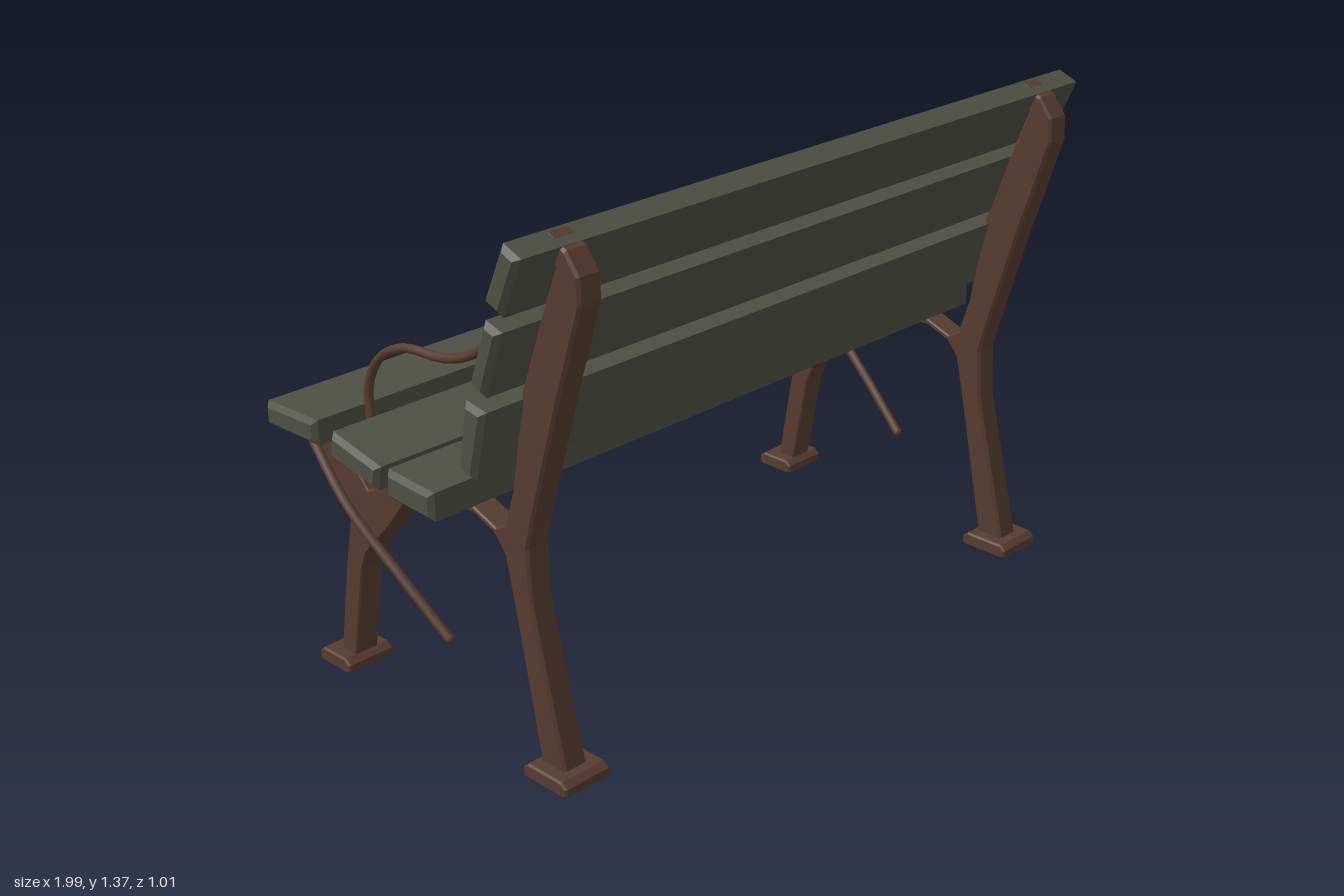
import * as THREE from 'three';

const slatPaint = new THREE.MeshStandardMaterial({ color: 0x4e5044 });
slatPaint.name = 'greyGreenPaint';
const iron = new THREE.MeshStandardMaterial({ color: 0x573d30 });
iron.name = 'rustyIron';
const bareWood = new THREE.MeshStandardMaterial({ color: 0x6f5922 });
bareWood.name = 'yellowWood';

// Extrudes a side profile of [z, y] points along x, centred on x = 0
function extrudeProfile(points, width, bevel) {
  const shape = new THREE.Shape(points.map(([z, y]) => new THREE.Vector2(-z, y)));
  const geo = new THREE.ExtrudeGeometry(shape, {
    depth: width - 2 * bevel, bevelEnabled: true, bevelSize: bevel,
    bevelThickness: bevel, bevelOffset: -bevel, bevelSegments: 1,
  });
  geo.translate(0, 0, bevel - width / 2);
  return geo.rotateY(Math.PI / 2);
}

// Regroups triangles so that faces matching the test use the second material
function splitMaterials(geo, test) {
  const p = geo.attributes.position;
  const tri = new THREE.Triangle(), n = new THREE.Vector3();
  const lists = [[], []];
  for (let i = 0; i < p.count; i += 3) {
    tri.setFromAttributeAndIndices(p, i, i + 1, i + 2);
    tri.getNormal(n);
    lists[test(n) ? 1 : 0].push(i, i + 1, i + 2);
  }
  geo.setIndex([...lists[0], ...lists[1]]);
  geo.clearGroups();
  geo.addGroup(0, lists[0].length, 0);
  geo.addGroup(lists[0].length, lists[1].length, 1);
  return geo;
}

function addMesh(parent, name, geo, material, x = 0) {
  const mesh = new THREE.Mesh(geo, material);
  mesh.name = name;
  mesh.position.x = x;
  parent.add(mesh);
  return mesh;
}

function tube(points, radius) {
  const curve = new THREE.CatmullRomCurve3(points.map((p) => new THREE.Vector3(...p)));
  return new THREE.TubeGeometry(curve, 28, radius, 8, false);
}

export function createModel() {
  const bench = new THREE.Group();
  bench.name = 'bench';

  // Slats: four corners [z, y] of each cross-section
  const slats = {
    topBackSlat: [[0.453, 1.342], [0.397, 1.365], [0.333, 1.221], [0.39, 1.196]],
    middleBackSlat: [[0.384, 1.16], [0.331, 1.176], [0.275, 1.018], [0.324, 0.993]],
    lowerBackSlat: [[0.322, 0.957], [0.255, 0.969], [0.225, 0.793], [0.281, 0.781]],
    rearSeatSlat: [[0.127, 0.7], [-0.038, 0.708], [-0.04, 0.634], [0.127, 0.627]],
    middleSeatSlat: [[-0.065, 0.703], [-0.245, 0.738], [-0.257, 0.67], [-0.078, 0.639]],
    frontSeatSlat: [[-0.304, 0.748], [-0.504, 0.741], [-0.504, 0.678], [-0.304, 0.681]],
  };
  for (const [name, corners] of Object.entries(slats)) {
    const bareEnd = name === 'frontSeatSlat';
    const geo = splitMaterials(extrudeProfile(corners, 1.99, 0.013),
      (n) => n.y < -0.85 || (bareEnd && n.x > 0.85));
    addMesh(bench, name, geo, [slatPaint, bareWood]);
  }

  // Rear post: leg, knee and leaning back support
  const rearPost = extrudeProfile([
    [0.425, 0.03], [0.37, 0.25], [0.322, 0.445], [0.314, 0.58], [0.332, 0.65],
    [0.42, 0.95], [0.507, 1.22], [0.503, 1.285], [0.465, 1.335], [0.405, 1.363],
    [0.43, 1.29], [0.375, 1.15], [0.31, 0.97], [0.268, 0.717], [0.235, 0.615],
    [0.234, 0.536], [0.263, 0.41], [0.342, 0.03],
  ], 0.07, 0.007);

  // Seat bearer arching into the front leg, with an open fork under the front slat
  const frontLeg = extrudeProfile([
    [0.25, 0.625], [0.205, 0.6], [0.13, 0.628], [-0.04, 0.635], [-0.08, 0.645],
    [-0.252, 0.676], [-0.24, 0.62], [-0.25, 0.547], [-0.273, 0.536], [-0.4, 0.672],
    [-0.41, 0.684], [-0.496, 0.682], [-0.5, 0.635], [-0.485, 0.61], [-0.364, 0.48],
    [-0.353, 0.43], [-0.38, 0.3], [-0.425, 0.03], [-0.367, 0.03], [-0.318, 0.3],
    [-0.295, 0.355], [-0.194, 0.465], [-0.13, 0.547], [-0.08, 0.585], [0, 0.611],
    [0.13, 0.611], [0.2, 0.585], [0.25, 0.53],
  ], 0.07, 0.004);

  const foot = (z, half) => extrudeProfile([
    [z + half, 0.006], [z + half, 0.026], [z + half - 0.016, 0.04],
    [z - half + 0.016, 0.04], [z - half, 0.026], [z - half, 0.006],
    [z - half + 0.008, 0], [z + half - 0.008, 0],
  ], 0.142, 0.005);

  for (const side of [-1, 1]) {
    const frame = new THREE.Group();
    frame.name = side > 0 ? 'leftFrame' : 'rightFrame';
    bench.add(frame);
    const x = side * 0.838;
    addMesh(frame, 'rearPost', rearPost, iron, x);
    addMesh(frame, 'frontLeg', frontLeg, iron, x);
    addMesh(frame, 'rearFoot', foot(0.39, 0.074), iron, x);
    addMesh(frame, 'frontFoot', foot(-0.41, 0.061), iron, x);

    // Curved armrest from the backrest down to the front slat
    addMesh(frame, 'armrest', tube([
      [side * 0.81, 1.115, 0.32], [side * 0.81, 1.095, 0.27], [side * 0.815, 1.043, 0.17],
      [side * 0.815, 0.978, 0.08], [side * 0.82, 0.943, -0.01], [side * 0.82, 0.925, -0.17],
      [side * 0.825, 0.873, -0.26], [side * 0.83, 0.79, -0.3], [side * 0.835, 0.7, -0.29],
    ], 0.012), iron);

    // Loose diagonal rod outside the front leg, closed at its lower end
    addMesh(frame, 'diagonalRod', tube([
      [side * 0.855, 0.222, -0.005], [side * 0.88, 0.35, -0.155],
      [side * 0.9, 0.49, -0.325], [side * 0.885, 0.635, -0.485],
    ], 0.013), iron);
    const tip = addMesh(frame, 'rodTip', new THREE.SphereGeometry(0.013, 8, 6), iron);
    tip.position.set(side * 0.855, 0.222, -0.005);
  }
  return bench;
}
